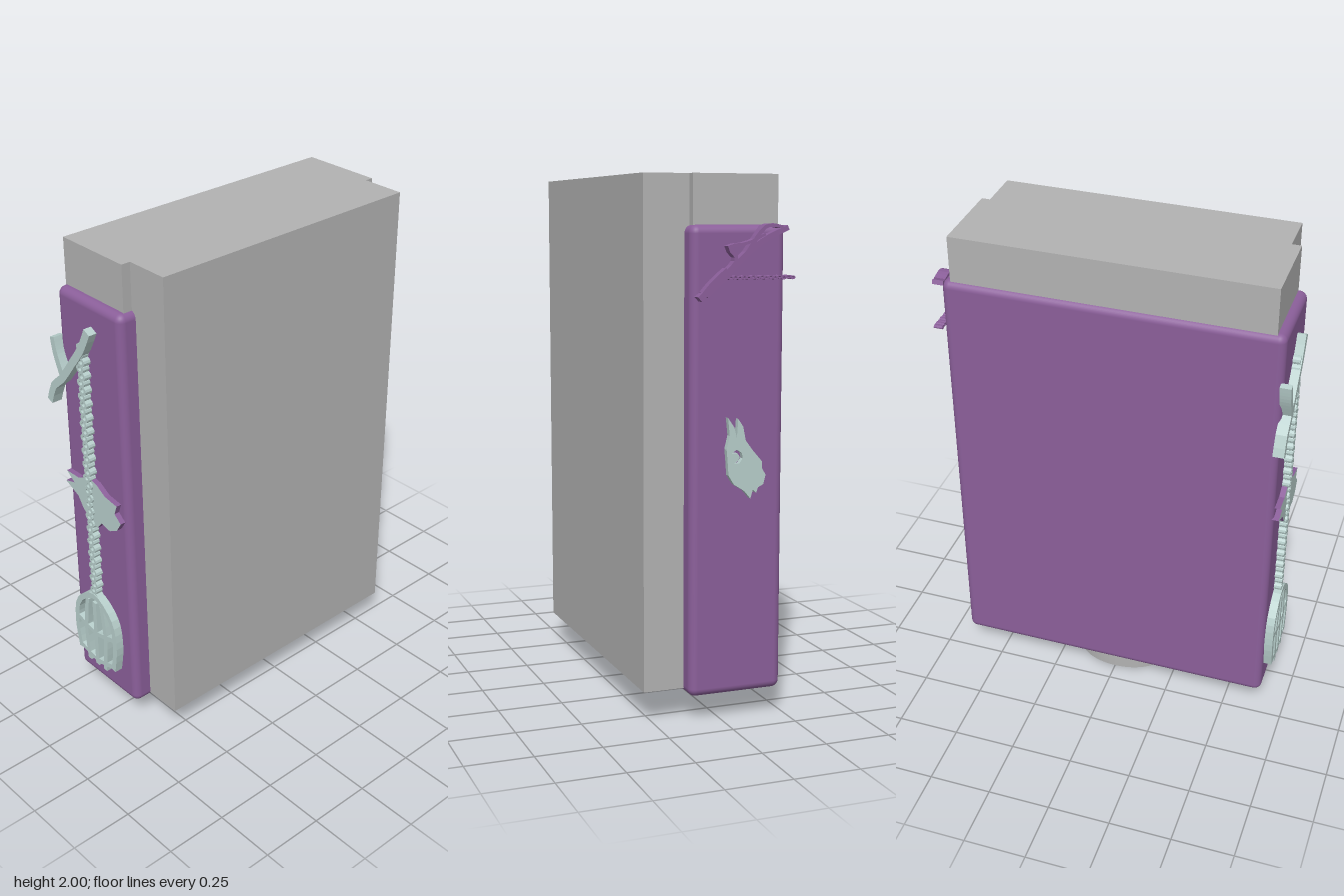
import * as THREE from 'three';
import { RoundedBoxGeometry } from 'three/addons/geometries/RoundedBoxGeometry.js';

const mat = (name, color) => Object.assign(new THREE.MeshStandardMaterial({ color }), { name });

// Flat relief drawn in (u, y), u running towards the back (-z), from x0 to x1
function relief(name, shapes, x0, x1, material) {
  const g = new THREE.ExtrudeGeometry(shapes, { depth: x1 - x0, bevelEnabled: false, curveSegments: 6 });
  g.rotateY(Math.PI / 2).translate(x0, 0, 0);
  const m = new THREE.Mesh(g, material);
  m.name = name;
  return m;
}

const polygon = (pts) => new THREE.Shape(pts.map(([u, y]) => new THREE.Vector2(u, y)));

// Ribbon shape following a smooth path, tapering from width w0 to w1
function stroke(pts, w0, w1 = w0, n = 10) {
  const curve = new THREE.SplineCurve(pts.map(([u, y]) => new THREE.Vector2(u, y)));
  const a = [], b = [];
  for (let i = 0; i <= n; i++) {
    const p = curve.getPoint(i / n), t = curve.getTangent(i / n), w = (w0 + (w1 - w0) * i / n) / 2;
    a.push([p.x - t.y * w, p.y + t.x * w]);
    b.push([p.x + t.y * w, p.y - t.x * w]);
  }
  return polygon([...a, ...b.reverse()].reverse());
}

// Oval chain link
function link(u, y, ru, ry) {
  const s = new THREE.Shape().absellipse(u, y, ru, ry, 0, Math.PI * 2);
  s.holes.push(new THREE.Path().absellipse(u, y, ru * 0.45, ry * 0.5, 0, Math.PI * 2, true));
  return s;
}

export function createModel() {
  const model = new THREE.Group();
  model.name = 'decoratedCase';
  const gray = mat('gray', 0xb2b2b2);
  const purple = mat('purple', 0x8b5f9a);
  const pale = mat('paleGreen', 0xb7cecb);

  const add = (name, geo, material, x, y, z) => {
    const m = new THREE.Mesh(geo, material);
    m.name = name;
    m.position.set(x, y, z);
    model.add(m);
    return m;
  };

  // Case, inserted block, front slab and base plug
  add('case', new RoundedBoxGeometry(1.305, 1.72, 0.365, 4, 0.03), purple, -0.002, 0.96, -0.053);
  add('insert', new THREE.BoxGeometry(1.235, 1.8, 0.33), gray, -0.002, 1.1, -0.055);
  add('frontSlab', new THREE.BoxGeometry(1.165, 1.88, 0.175), gray, 0, 1.06, 0.1975);
  add('basePlug', new THREE.CylinderGeometry(1, 1, 0.13, 48), gray, 0, 0.065, -0.06).scale.set(0.184, 1, 0.115);

  // Branch with a cord on the left side
  const R0 = 0.64, R1 = 0.684;
  model.add(relief('leftBranch', [
    stroke([[-0.11, 1.56], [-0.03, 1.63], [0.06, 1.71], [0.14, 1.77], [0.23, 1.81]], 0.022, 0.018),
    stroke([[-0.01, 1.645], [0.03, 1.7], [0.0, 1.742], [0.07, 1.755], [0.14, 1.787]], 0.016, 0.009),
    stroke([[-0.09, 1.575], [-0.05, 1.615], [0.0, 1.655]], 0.028, 0.036),
    stroke([[0.07, 1.72], [0.14, 1.812], [0.21, 1.812]], 0.018, 0.01),
  ], R0, R1, purple));
  const cord = [];
  for (let i = 0; i < 15; i++) cord.push(link(0.01 + i * 0.0172, 1.634 + (i % 2 ? 0.001 : -0.001), 0.0105, 0.007));
  model.add(relief('leftCord', cord, R0 + 0.005, R1 - 0.005, purple));

  // Animal head with two ears and a crescent eye
  const head = polygon([
    [0.005, 1.135], [0.03, 1.1], [0.04, 1.06], [0.045, 1.13], [0.065, 1.1], [0.075, 1.05],
    [0.105, 1.01], [0.14, 0.97], [0.14, 0.945], [0.155, 0.92], [0.146, 0.885], [0.125, 0.875],
    [0.118, 0.855], [0.105, 0.868], [0.095, 0.835], [0.07, 0.865], [0.03, 0.89], [0.008, 0.925],
    [0.004, 0.98], [0.0, 1.02], [0.012, 1.07],
  ].reverse());
  head.holes.push(new THREE.Path([
    [0.02, 1.005], [0.04, 1.018], [0.06, 1.005], [0.064, 0.985], [0.05, 0.967], [0.03, 0.968],
    [0.046, 0.977], [0.052, 0.99], [0.044, 1.004],
  ].map(([u, y]) => new THREE.Vector2(u, y))));
  model.add(relief('leftHead', head, 0.64, 0.672, pale));

  // Forked branch on the right side
  const L0 = -0.688, L1 = -0.645;
  model.add(relief('rightBranch', [
    stroke([[0.02, 1.72], [0.06, 1.64], [0.12, 1.56], [0.19, 1.47], [0.245, 1.42], [0.275, 1.345]], 0.035, 0.03),
    stroke([[0.235, 1.625], [0.22, 1.56], [0.185, 1.48]], 0.024, 0.032),
  ], L0, L1, pale));

  // Hanging chain, with the second head between its two runs
  const chain = [];
  for (let y = 1.64, i = 0; y > 0.53; y -= 0.029, i++) chain.push(link(0.075 + (i % 2 ? 0.004 : -0.004), y, 0.021, 0.018));
  model.add(relief('rightChain', chain, L0 + 0.004, L1, pale));
  model.add(relief('rightHead', polygon([
    [-0.11, 0.97], [-0.085, 0.93], [-0.04, 0.905], [0.01, 0.915], [0.04, 0.88], [0.08, 0.9],
    [0.12, 0.93], [0.15, 0.975], [0.225, 1.01], [0.17, 1.025], [0.215, 1.06], [0.14, 1.06],
    [0.08, 1.09], [0.03, 1.08], [-0.02, 1.05], [-0.09, 1.04], [-0.075, 1.0],
  ]), -0.676, L1, [pale, purple]));

  // Barred cage at the end of the chain
  const c = 0.075, bars = [];
  bars.push(stroke([[c - 0.105, 0.23], [c - 0.122, 0.35], [c - 0.1, 0.47], [c, 0.54],
    [c + 0.1, 0.47], [c + 0.122, 0.35], [c + 0.105, 0.23]], 0.024, 0.024, 24));
  for (const k of [-1, 0, 1])
    bars.push(stroke([[c + k * 0.05, 0.2], [c + k * 0.062, 0.35], [c + k * 0.045, 0.51]], 0.022));
  for (const y of [0.235, 0.37])
    bars.push(stroke([[c - 0.115, y + 0.015], [c, y - 0.012], [c + 0.115, y + 0.015]], 0.02));
  model.add(relief('rightCage', bars, L0, L1, pale));

  return model;
}
